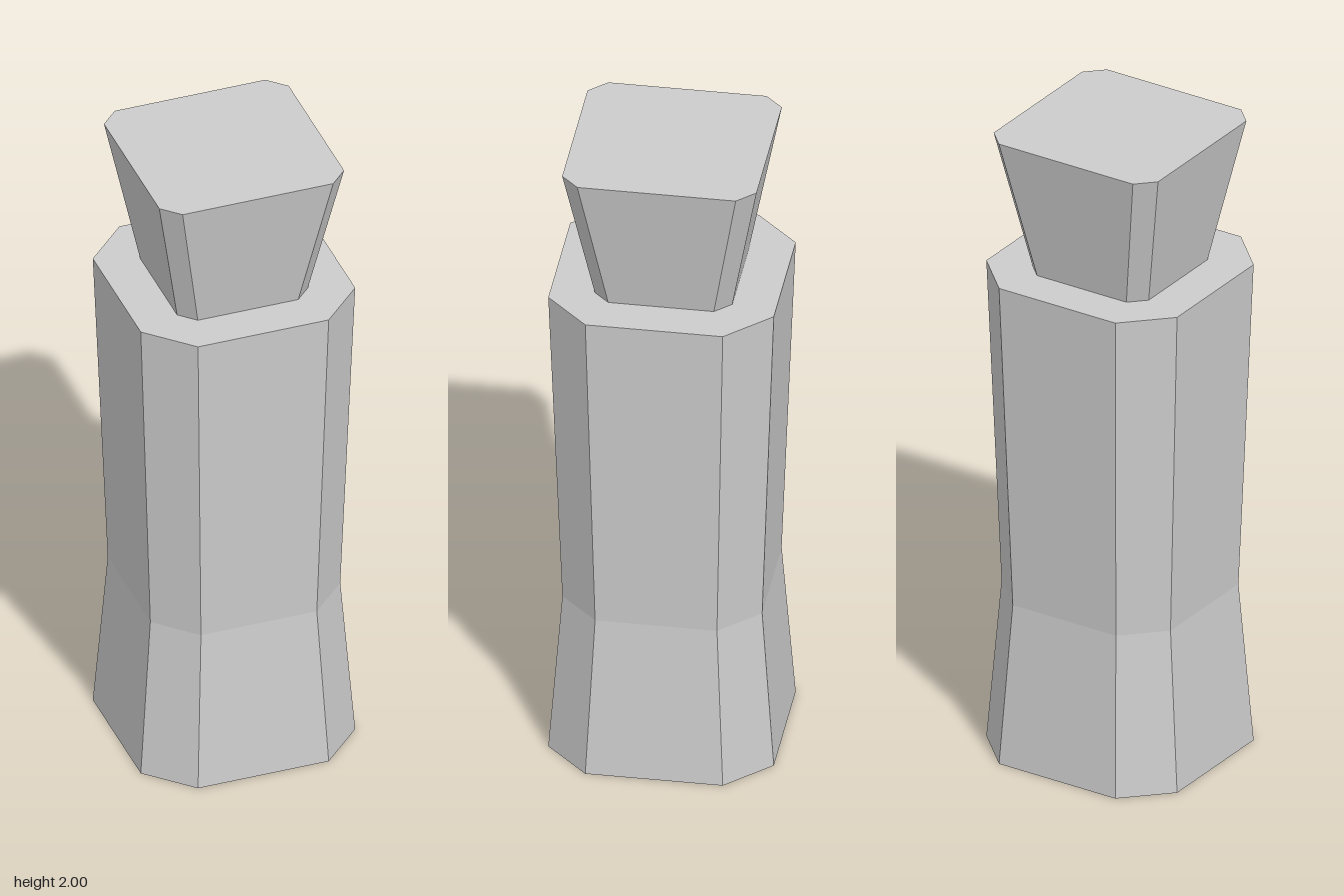
import * as THREE from 'three';

// Corners of a square with cut corners: half width h, half flat side c
function ring([y, h, c]) {
  return [[h, c], [c, h], [-c, h], [-h, c], [-h, -c], [-c, -h], [c, -h], [h, -c]]
    .map(([x, z]) => [x, y, z]);
}

// Closed faceted solid through sections [y, h, c], listed bottom to top
function loft(name, sections, material) {
  const rings = sections.map(ring);
  const top = rings[rings.length - 1];
  const topCentre = [0, top[0][1], 0];
  const bottomCentre = [0, rings[0][0][1], 0];
  const points = [];
  for (let i = 0; i < 8; i++) {
    const j = (i + 1) % 8;
    for (let k = 0; k < rings.length - 1; k++) {
      const lo = rings[k], hi = rings[k + 1];
      points.push(lo[j], lo[i], hi[i], lo[j], hi[i], hi[j]);
    }
    points.push(topCentre, top[j], top[i]);
    points.push(bottomCentre, rings[0][i], rings[0][j]);
  }
  const geometry = new THREE.BufferGeometry();
  geometry.setAttribute('position', new THREE.Float32BufferAttribute(points.flat(), 3));
  geometry.computeVertexNormals();
  const mesh = new THREE.Mesh(geometry, material);
  mesh.name = name;
  return mesh;
}

export function createModel() {
  const group = new THREE.Group();
  group.name = 'bottle';
  const material = new THREE.MeshStandardMaterial({ color: 0xcccccc, flatShading: true });

  // Waisted eight-sided body
  group.add(loft('body', [
    [0, 0.333, 0.203],
    [0.51, 0.295, 0.18],
    [1.556, 0.333, 0.203],
  ], material));

  // Flared stopper standing on the body
  group.add(loft('stopper', [
    [1.556, 0.203, 0.156],
    [2, 0.287, 0.234],
  ], material));

  return group;
}
